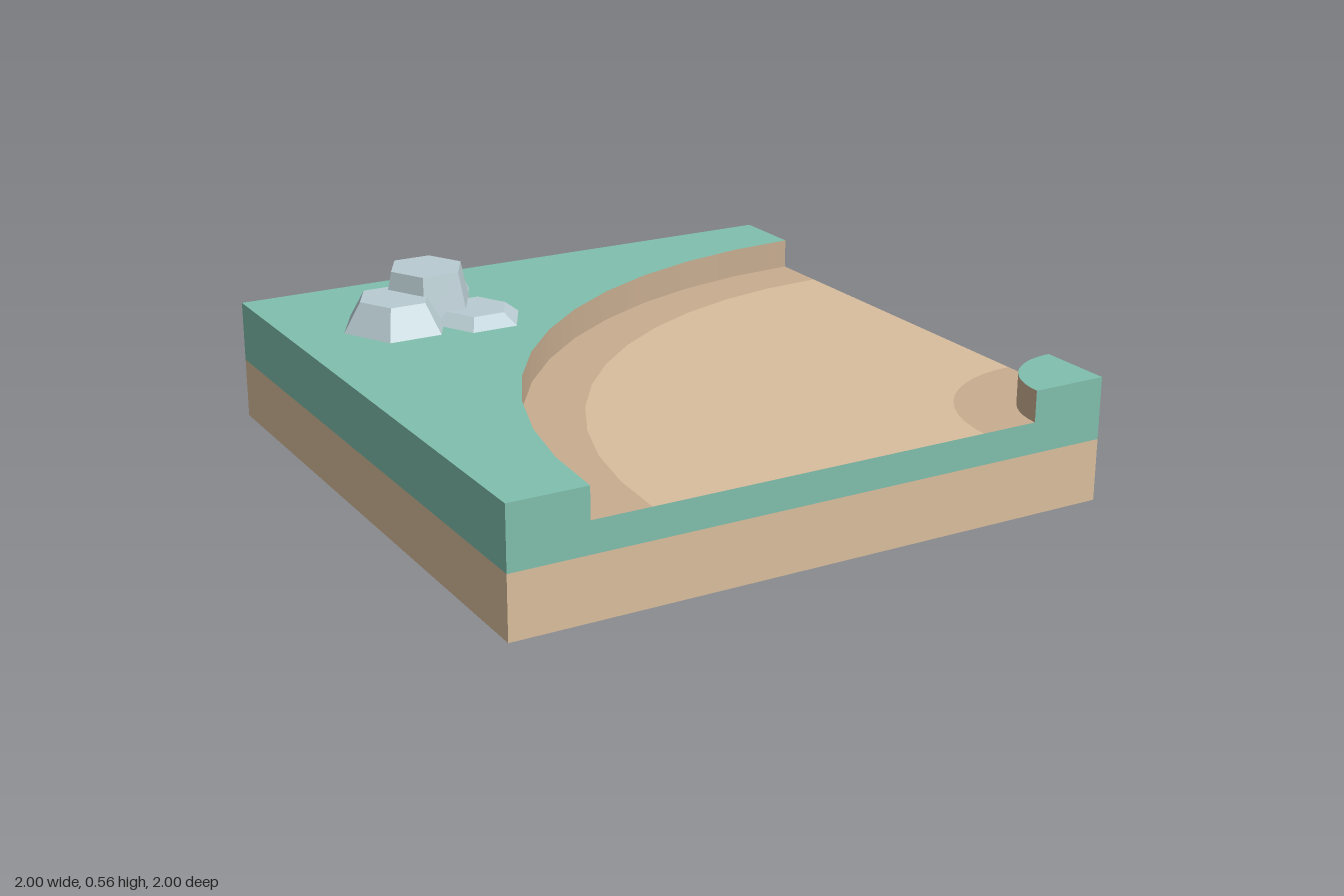
import * as THREE from 'three';

const mat = (color, flatShading = false) => new THREE.MeshStandardMaterial({ color, flatShading });
const grass = mat(0x80bfad), sand = mat(0xdabe9d), wetSand = mat(0xc8ad90), stone = mat(0xb8cbd1, true);

const SEG = 12, Q = Math.PI / 2;
const OUTER = 1.75, INNER = 0.25, BAND = 0.19;   // river bend radii around the corner (1, 1)
const BED = 0.3, TOP = 0.4;

function add(parent, name, geometry, material) {
  const mesh = new THREE.Mesh(geometry, material);
  mesh.name = name;
  parent.add(mesh);
  return mesh;
}

const shapeFrom = pts => new THREE.Shape(pts.map(([x, y]) => new THREE.Vector2(x, y)));

// Flat quarter ring lying at height y around the bend's corner
const quarterRing = (r0, r1, y) =>
  new THREE.RingGeometry(r0, r1, SEG, 1, Q, Q).rotateX(-Q).translate(1, y, 1);

// Curved bank wall; profile order decides which way it faces
function bankWall(r, yStart, yEnd) {
  const pts = [new THREE.Vector2(r, yStart), new THREE.Vector2(r, yEnd)];
  return new THREE.LatheGeometry(pts, SEG, Math.PI, Q).translate(1, 0, 1);
}

export function createModel() {
  const model = new THREE.Group();
  model.name = 'riverBendTile';

  // Soil slab
  add(model, 'soilBase', new THREE.BoxGeometry(2, 0.2, 2).translate(0, 0.1, 0), sand);

  // Grass layer edges: notched where the channel leaves the tile, plain elsewhere
  const notched = [[-1, 0.2], [1, 0.2], [1, TOP], [0.75, TOP], [0.75, BED], [-0.75, BED], [-0.75, TOP], [-1, TOP]];
  const plain = [[-1, 0.2], [1, 0.2], [1, TOP], [-1, TOP]];
  [['frontEdge', notched], ['leftEdge', notched], ['backEdge', plain], ['rightEdge', plain]].forEach(([name, pts], i) => {
    add(model, name, new THREE.ShapeGeometry(shapeFrom(pts)).translate(0, 0, 1).rotateY(i * Q), grass);
  });

  // Grass top outside the bend
  const lawn = [[-1, -1]];
  for (let i = SEG; i >= 0; i--) {
    const a = Q + (i / SEG) * Q;
    lawn.push([1 + OUTER * Math.cos(a), -1 + OUTER * Math.sin(a)]);
  }
  lawn.push([1, 1], [-1, 1]);
  add(model, 'outerGrass', new THREE.ShapeGeometry(shapeFrom(lawn)).rotateX(-Q).translate(0, TOP, 0), grass);

  // Grass corner inside the bend
  add(model, 'innerGrass', new THREE.CircleGeometry(INNER, SEG, Q, Q).rotateX(-Q).translate(1, TOP, 1), grass);

  // River bed with darker margins
  add(model, 'riverBed', quarterRing(INNER + BAND, OUTER - BAND, BED), sand);
  add(model, 'outerMargin', quarterRing(OUTER - BAND, OUTER, BED), wetSand);
  add(model, 'innerMargin', quarterRing(INNER, INNER + BAND, BED), wetSand);

  // Bank walls
  add(model, 'outerBank', bankWall(OUTER, TOP, BED), wetSand);
  add(model, 'innerBank', bankWall(INNER, BED, TOP), wetSand);

  // Rock cluster: x, z, base radius, top radius, height
  const rocks = new THREE.Group();
  rocks.name = 'rocks';
  model.add(rocks);
  [
    [-0.50, -0.605, 0.158, 0.124, 0.155],
    [-0.65, -0.524, 0.177, 0.119, 0.096],
    [-0.415, -0.778, 0.147, 0.116, 0.062],
    [-0.388, -0.468, 0.154, 0.106, 0.037],
  ].forEach(([x, z, rBase, rTop, h]) => {
    const g = new THREE.CylinderGeometry(rTop, rBase, h, 6).rotateY(Math.PI / 6).scale(1, 1, 1.08);
    add(rocks, 'rock', g, stone).position.set(x, TOP + h / 2, z);
  });

  return model;
}
